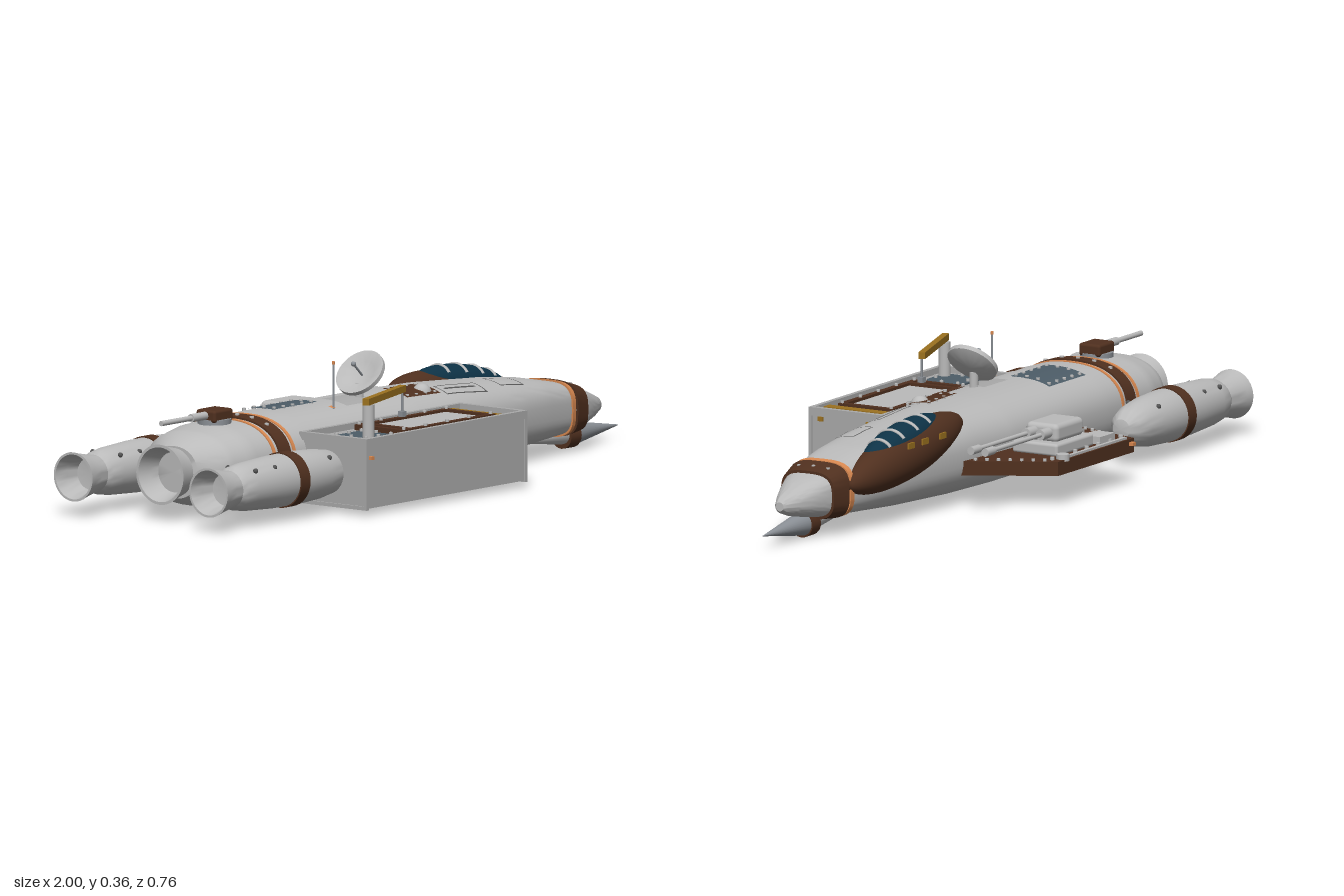
import * as THREE from 'three';
import { toCreasedNormals } from 'three/addons/utils/BufferGeometryUtils.js';
import { RoundedBoxGeometry } from 'three/addons/geometries/RoundedBoxGeometry.js';

const mat = (name, color) => new THREE.MeshStandardMaterial({ name, color });
const M = {
  hull: mat('hull grey', 0xbababa), box: mat('box grey', 0xaaaaaa), brown: mat('brown', 0x50301f),
  orange: mat('orange', 0xd88850), glass: mat('glass', 0x0e3347), slate: mat('slate', 0x4d5d68),
  gold: mat('gold', 0x9c7220), steel: mat('steel', 0x8b9096), dark: mat('dark line', 0x555555),
};

// Hull stations: x, half width, bottom, top, squareness
const STATIONS = [
  [-0.86, 0.08, 0.055, 0.195, 2.2], [-0.84, 0.105, 0.045, 0.208, 2.2], [-0.8, 0.142, 0.03, 0.226, 2.3],
  [-0.72, 0.16, 0.018, 0.238, 2.4], [-0.5, 0.165, 0.012, 0.246, 2.4], [0, 0.165, 0.012, 0.246, 2.4],
  [0.2, 0.152, 0.016, 0.242, 2.5], [0.45, 0.126, 0.028, 0.226, 2.7], [0.6, 0.106, 0.04, 0.209, 3],
  [0.72, 0.088, 0.049, 0.186, 3.3], [0.775, 0.076, 0.054, 0.17, 3.2], [0.82, 0.062, 0.06, 0.158, 2.6],
  [0.87, 0.041, 0.07, 0.14, 2.2], [0.91, 0.02, 0.083, 0.124, 2], [0.92, 0.012, 0.091, 0.115, 2],
];

function section(x) {
  let i = 0;
  while (i < STATIONS.length - 2 && x > STATIONS[i + 1][0]) i++;
  const a = STATIONS[i], b = STATIONS[i + 1];
  const [, w, lo, hi, n] = a.map((v, k) => v + (b[k] - v) * (x - a[0]) / (b[0] - a[0]));
  return { w, n, c: (lo + hi) / 2, h: (hi - lo) / 2 };
}

function topY(x, z) {
  const { w, n, c, h } = section(x);
  return c + h * Math.max(0, 1 - Math.abs(z / w) ** n) ** (1 / n);
}

// Lofts closed cross-sections of the hull, grown by an offset
function loft(xs, grow = 0, sides = 56) {
  const pos = [], idx = [];
  const rows = [[xs[0], 0], ...xs.map(x => [x, 1]), [xs.at(-1), 0]];
  rows.forEach(([x, k], i) => {
    const { w, n, c, h } = section(x);
    for (let j = 0; j < sides; j++) {
      const t = j / sides * Math.PI * 2, cs = Math.cos(t), sn = Math.sin(t);
      pos.push(x, c + k * (h + grow) * Math.sign(sn) * Math.abs(sn) ** (2 / n),
        k * (w + grow) * Math.sign(cs) * Math.abs(cs) ** (2 / n));
      if (i === rows.length - 1) continue;
      const a = i * sides + j, b = i * sides + (j + 1) % sides;
      idx.push(a, a + sides, b, b, a + sides, b + sides);
    }
  });
  const g = new THREE.BufferGeometry();
  g.setAttribute('position', new THREE.Float32BufferAttribute(pos, 3));
  g.setIndex(idx);
  return toCreasedNormals(g, 0.7);
}

export function createModel() {
  const root = new THREE.Group();
  const add = (name, geo, m, x = 0, y = 0, z = 0, parent = root) => {
    const mesh = new THREE.Mesh(geo, m);
    mesh.name = name;
    mesh.position.set(x, y, z);
    parent.add(mesh);
    return mesh;
  };
  // Box given by its extents
  const box = (name, m, x0, x1, y0, y1, z0, z1) => add(name, new THREE.BoxGeometry(x1 - x0, y1 - y0, z1 - z0), m,
    (x0 + x1) / 2, (y0 + y1) / 2, (z0 + z1) / 2);
  // Cylinder lying along x
  const rod = (name, m, x0, x1, y, z, r0, r1 = r0, n = 20) =>
    add(name, new THREE.CylinderGeometry(r1, r0, x1 - x0, n).rotateZ(-Math.PI / 2), m, (x0 + x1) / 2, y, z);
  const post = (name, m, x, y0, y1, z, r) => add(name, new THREE.CylinderGeometry(r, r, y1 - y0, 16), m, x, (y0 + y1) / 2, z);
  // Thin plate draped over the hull top
  const plate = (name, m, x0, x1, z0, z1, lift = 0.004) => {
    const g = new THREE.PlaneGeometry(x1 - x0, z1 - z0, 8, 8).rotateX(-Math.PI / 2).translate((x0 + x1) / 2, 0, (z0 + z1) / 2);
    const p = g.attributes.position;
    for (let i = 0; i < p.count; i++) p.setY(i, topY(p.getX(i), p.getZ(i)) + lift);
    g.computeVertexNormals();
    return add(name, g, m);
  };
  const outline = (x0, x1, z0, z1, t = 0.004) => {
    for (const z of [z0, z1]) plate('panelLine', M.dark, x0, x1, z, z + t, 0.002);
    for (const x of [x0, x1]) plate('panelLine', M.dark, x, x + t, z0, z1 + t, 0.002);
  };
  const rivets = (x0, x1, z0, z1, nx, nz, y) => {
    for (let i = 0; i < nx; i++) for (let j = 0; j < nz; j++) {
      if (i % (nx - 1) && j % (nz - 1)) continue;
      const x = x0 + (x1 - x0) * i / (nx - 1), z = z0 + (z1 - z0) * j / (nz - 1), b = y ?? topY(x, z);
      post('rivet', M.hull, x, b, b + 0.008, z, 0.005);
    }
  };

  // Hull and its bands
  const xs = Array.from({ length: 46 }, (_, i) => -0.86 + 1.78 * i / 45);
  add('hull', loft([...new Set([...xs, ...STATIONS.map(s => s[0])])].sort((a, b) => a - b)), M.hull);
  const band = (name, m, x0, x1, g) => add(name, loft([x0, (x0 + x1) / 2, x1], g), m);
  band('rearBand', M.brown, -0.618, -0.572, 0.005);
  for (const x of [-0.64, -0.56]) band('rearStripe', M.orange, x, x + 0.01, 0.003);
  band('noseBand', M.brown, 0.72, 0.778, 0.007);
  band('noseStripe', M.orange, 0.697, 0.712, 0.005);
  for (const z of [-0.1, -0.05, 0, 0.05, 0.1]) post('bandRivet', M.hull, -0.595, topY(-0.595, z), topY(-0.595, z) + 0.009, z, 0.006);
  for (const z of [-0.045, 0, 0.045]) post('noseRivet', M.hull, 0.748, topY(0.748, z), topY(0.748, z) + 0.009, z, 0.005);

  // Lower spike
  rod('spikeMount', M.hull, 0.62, 0.77, 0.042, 0.003, 0.012, 0.03);
  rod('spikeCollar', M.brown, 0.762, 0.805, 0.036, 0.003, 0.035);
  rod('spike', M.steel, 0.805, 1, 0.038, 0.003, 0.032, 0.001, 28);

  // Engines: profile runs from the throat out over the rim to the rounded nose
  const lathe = pts => toCreasedNormals(new THREE.LatheGeometry(pts.map(p => new THREE.Vector2(...p)), 36).rotateZ(-Math.PI / 2), 0.6);
  const nozzle = [[0, 0.075], [0.042, 0.07], [0.05, 0.035], [0.06, 0], [0.066, 0], [0.061, 0.02], [0.054, 0.055], [0.05, 0.085]];
  for (const z of [-0.23, 0.23]) {
    add('sideEngine', lathe([...nozzle, [0.058, 0.1], [0.064, 0.14], [0.07, 0.25], [0.071, 0.36], [0.067, 0.44],
      [0.058, 0.5], [0.045, 0.54], [0.026, 0.563], [0, 0.57]]), M.hull, -1, 0.107, z);
    rod('engineBand', M.brown, -0.7, -0.662, 0.107, z, 0.074, 0.074, 36);
    for (const x of [-0.86, -0.78, -0.55]) for (const s of [-1, 1])
      add('engineStud', new THREE.SphereGeometry(0.007, 10, 8), M.dark, x, 0.154, z + s * 0.047);
    box('enginePylon', M.hull, -0.72, -0.56, 0.09, 0.125, Math.min(z, z * 0.6), Math.max(z, z * 0.6));
  }
  add('centreEngine', lathe(nozzle.map(([r, y]) => [r * 1.22, y])), M.hull, -0.92, 0.125, 0);

  // Cockpit
  const cockpit = new THREE.Group();
  cockpit.name = 'cockpit';
  cockpit.position.set(0.44, 0.207, -0.085);
  cockpit.rotation.z = -0.15;
  root.add(cockpit);
  add('cockpitFairing', new THREE.SphereGeometry(1, 40, 24).scale(0.285, 0.07, 0.065), M.brown, 0, -0.032, -0.004, cockpit);
  add('canopyGlass', new THREE.SphereGeometry(1, 40, 24).scale(0.19, 0.05, 0.052), M.glass, 0, 0, 0, cockpit);
  for (const x of [-0.09, -0.02, 0.05, 0.11]) {
    const r = 0.0505 * Math.sqrt(1 - (x / 0.19) ** 2);
    add('canopyRib', new THREE.TorusGeometry(r, 0.004, 8, 20, 1.9).rotateZ(0.62).rotateY(Math.PI / 2).scale(1.5, 1, 1), M.hull, x, 0, 0, cockpit);
  }
  for (const x of [0.34, 0.43, 0.5]) box('cockpitTag', M.gold, x, x + 0.03, 0.208, 0.224, -0.163, -0.158);

  // Cargo box with rim and open tray
  box('cargoBox', M.box, -0.505, 0.16, 0.02, 0.19, 0.13, 0.368);
  for (const z of [0.142, 0.358]) box('cargoRim', M.box, -0.51, 0.165, 0.185, 0.207, z, z + 0.013);
  for (const x of [-0.51, 0.15]) box('cargoRim', M.box, x, x + 0.015, 0.185, 0.207, 0.142, 0.371);
  for (const x of [-0.51, 0.155]) {
    for (const z of [0.142, 0.362]) box('cargoEdge', M.box, x, x + 0.01, 0.016, 0.2, z, z + 0.009);
    box('cargoEdge', M.box, x, x + 0.01, 0.016, 0.026, 0.142, 0.371);
  }
  for (const z of [0.168, 0.318]) box('trayFrame', M.brown, -0.31, 0.075, 0.19, 0.205, z, z + 0.017);
  for (const x of [-0.31, -0.278, 0.055]) box('trayFrame', M.brown, x, x + 0.017, 0.19, 0.205, 0.168, 0.335);
  box('trayLid', M.hull, -0.25, 0.045, 0.19, 0.2, 0.19, 0.312);
  box('trayStrip', M.gold, 0.08, 0.11, 0.19, 0.2, 0.16, 0.358);
  box('boxPanel', M.slate, -0.46, -0.335, 0.189, 0.196, 0.21, 0.33);
  rivets(-0.45, -0.345, 0.22, 0.32, 3, 3, 0.195);
  rivets(-0.3, 0.065, 0.176, 0.327, 5, 2, 0.203);
  for (const z of [0.184, 0.333]) box('boxTag', M.gold, 0.164, 0.168, 0.172, 0.184, z - 0.008, z + 0.008);
  box('boxSideTag', M.orange, -0.5, -0.488, 0.151, 0.16, 0.366, 0.38);

  // Loading crane
  post('cranePost', M.hull, -0.435, 0.19, 0.287, 0.316, 0.016);
  const beam = add('craneBeam', new THREE.BoxGeometry(0.27, 0.018, 0.018), M.gold, -0.328, 0.296, 0.284);
  beam.rotation.y = 0.31;
  post('craneCable', M.steel, -0.21, 0.235, 0.29, 0.249, 0.003);
  box('craneHook', M.steel, -0.218, -0.202, 0.222, 0.237, 0.241, 0.257);

  // Weapon platform
  const s = new THREE.Shape([[-0.34, 0.14], [0.235, 0.14], [0.11, 0.368], [-0.275, 0.368]].map(p => new THREE.Vector2(...p)).reverse());
  add('platform', new THREE.ExtrudeGeometry(s, { depth: 0.038, bevelEnabled: false }).rotateX(-Math.PI / 2), M.brown, 0, 0.087, 0);
  box('platformEdge', M.hull, -0.25, 0.08, 0.123, 0.131, -0.362, -0.352);
  for (let i = 0; i < 7; i++) {
    post('platformStud', M.hull, -0.255 + i * 0.058, 0.123, 0.133, -0.34, 0.006);
    post('platformStud', M.hull, -0.318 + i * 0.009, 0.123, 0.131, -0.17 - i * 0.027, 0.005);
    post('platformStud', M.hull, 0.205 - i * 0.0145, 0.123, 0.131, -0.17 - i * 0.027, 0.005);
  }
  for (const z of [-0.31, -0.215]) box('ammoCase', M.hull, -0.225, -0.15, 0.123, 0.145, z - 0.03, z + 0.03);
  box('platformTag', M.orange, -0.265, -0.25, 0.108, 0.117, -0.381, -0.366);
  post('platformLamp', M.hull, 0.065, 0.12, 0.138, -0.355, 0.018);

  // Twin-gun turret
  add('turretBase', new RoundedBoxGeometry(0.19, 0.034, 0.14, 3, 0.008), M.hull, -0.045, 0.14, -0.258);
  add('turretHead', new RoundedBoxGeometry(0.14, 0.05, 0.1, 3, 0.014), M.hull, -0.05, 0.178, -0.26);
  for (const z of [-0.238, -0.282]) {
    rod('gunSleeve', M.hull, 0, 0.06, 0.18, z, 0.014);
    rod('gunBarrel', M.hull, 0.05, 0.34, 0.18, z, 0.006);
    rod('gunMuzzle', M.hull, 0.3, 0.34, 0.18, z, 0.011);
  }

  // Rear gun
  post('rearGunMount', M.steel, -0.69, 0.225, 0.25, 0, 0.045);
  add('rearGunBody', new RoundedBoxGeometry(0.08, 0.034, 0.066, 2, 0.008), M.brown, -0.69, 0.259, 0);
  rod('rearGunBarrel', M.hull, -0.915, -0.72, 0.261, 0, 0.007);
  rod('rearGunSleeve', M.hull, -0.79, -0.73, 0.261, 0, 0.011);

  // Dish antenna tilted up to the rear
  post('dishStand', M.hull, -0.135, 0.235, 0.285, 0.042, 0.012);
  const dish = new THREE.Group();
  dish.name = 'dish';
  dish.position.set(-0.125, 0.306, 0.042);
  dish.rotation.z = 0.82;
  root.add(dish);
  const dishPts = [[0, -0.014], [0.045, -0.012], [0.07, 0], [0.07, 0.012], [0.064, 0.012], [0.04, 0.002], [0, -0.004]];
  add('dishBowl', toCreasedNormals(new THREE.LatheGeometry(dishPts.map(p => new THREE.Vector2(...p)), 36), 0.6), M.hull, 0, 0, 0, dish);
  add('dishFeed', new THREE.CylinderGeometry(0.003, 0.003, 0.05, 8), M.steel, 0, 0.02, 0, dish);
  add('dishTip', new THREE.SphereGeometry(0.007, 10, 8), M.steel, 0, 0.046, 0, dish);

  // Mast
  post('mast', M.steel, -0.29, 0.22, 0.357, 0.08, 0.003);
  post('mastTip', M.orange, -0.29, 0.355, 0.363, 0.08, 0.004);

  // Deck panels
  plate('slatePanel', M.slate, -0.47, -0.285, -0.1, 0.022);
  rivets(-0.455, -0.3, -0.09, 0.012, 5, 4);
  plate('deckPlate', M.box, -0.24, -0.12, 0, 0.085);
  plate('hatchPanel', M.brown, -0.005, 0.135, 0.015, 0.1, 0.006);
  rivets(0.008, 0.122, 0.025, 0.09, 4, 3);
  add('hatchDome', new THREE.SphereGeometry(0.026, 20, 12), M.hull, 0.1, topY(0.1, 0.065) - 0.006, 0.065);
  outline(0.16, 0.325, 0.052, 0.1);
  outline(0.18, 0.305, 0.072, 0.076);
  outline(0.41, 0.505, 0.02, 0.078);
  plate('deckTag', M.orange, -0.3, -0.285, 0.07, 0.085);
  return root;
}
